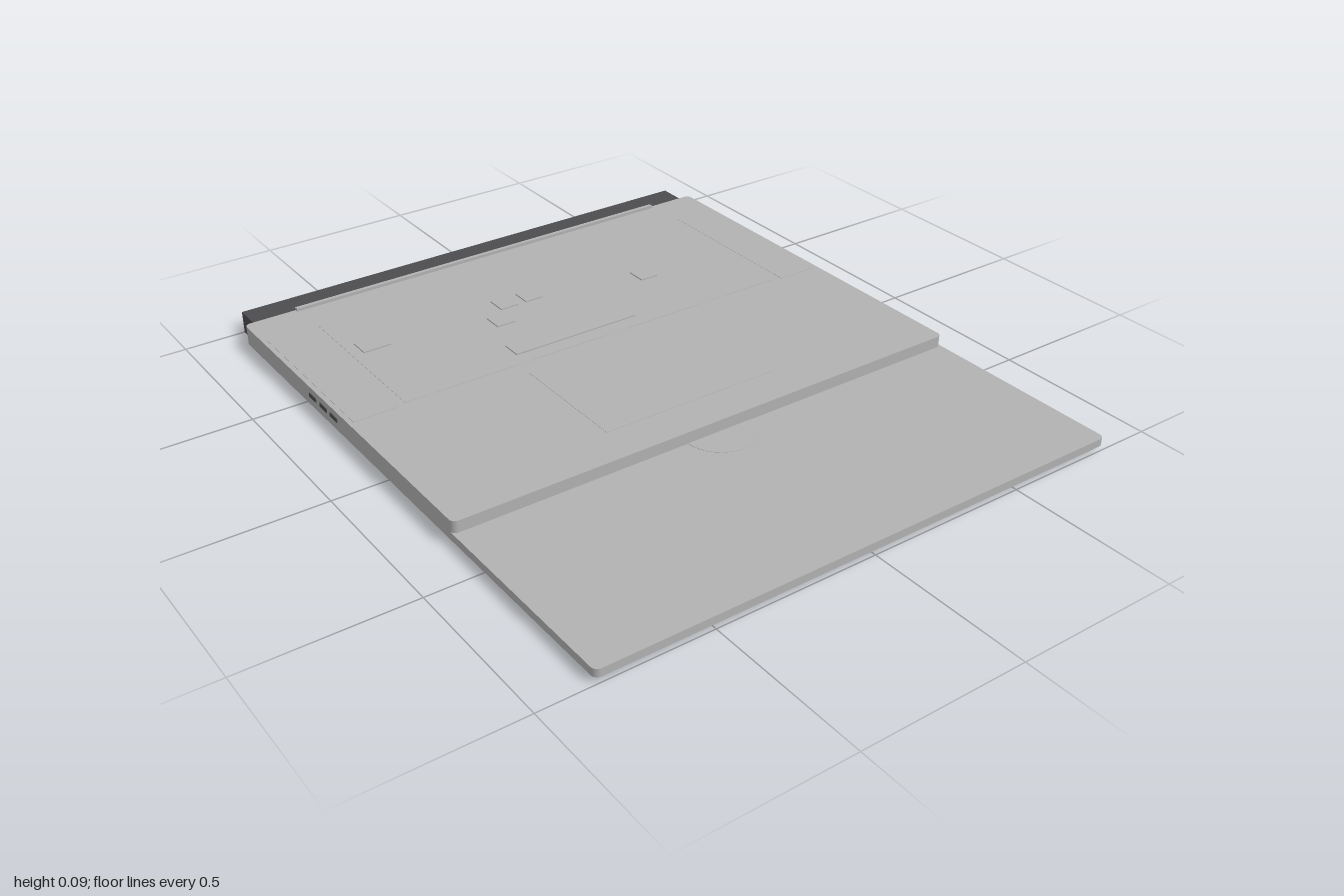
import * as THREE from 'three';

const shell = new THREE.MeshStandardMaterial({ color: 0xb2b2b2 });
shell.name = 'light grey shell';
const dark = new THREE.MeshStandardMaterial({ color: 0x4c4c50 });
dark.name = 'dark grey';

// Slab with rounded vertical corners, given by its bounds
function slab(name, x0, x1, y0, y1, z0, z1, r, material = shell) {
  const s = new THREE.Shape();
  s.moveTo(x0 + r, -z1);
  s.lineTo(x1 - r, -z1);
  s.absarc(x1 - r, -z1 + r, r, -Math.PI / 2, 0);
  s.lineTo(x1, -z0 - r);
  s.absarc(x1 - r, -z0 - r, r, 0, Math.PI / 2);
  s.lineTo(x0 + r, -z0);
  s.absarc(x0 + r, -z0 - r, r, Math.PI / 2, Math.PI);
  s.lineTo(x0, -z1 + r);
  s.absarc(x0 + r, -z1 + r, r, Math.PI, Math.PI * 1.5);
  const g = new THREE.ExtrudeGeometry(s, { depth: y1 - y0, bevelEnabled: false, curveSegments: 4 });
  g.rotateX(-Math.PI / 2).translate(0, y0, 0);
  const mesh = new THREE.Mesh(g, material);
  mesh.name = name;
  return mesh;
}

// Square-edged block, given by its bounds
function block(name, x0, x1, y0, y1, z0, z1, material = shell) {
  const g = new THREE.BoxGeometry(x1 - x0, y1 - y0, z1 - z0);
  g.translate((x0 + x1) / 2, (y0 + y1) / 2, (z0 + z1) / 2);
  const mesh = new THREE.Mesh(g, material);
  mesh.name = name;
  return mesh;
}

export function createModel() {
  const model = new THREE.Group();
  model.name = 'flatDevice';
  const top = 0.076;

  // Thin lower plate, thicker rear body and the bar behind it
  model.add(slab('lowerPlate', -0.84, 0.84, 0.016, 0.04, -0.905, 1, 0.018));
  model.add(slab('upperBody', -0.84, 0.84, 0.04, top, -0.905, 0.367, 0.018));
  model.add(block('rearBar', -0.808, 0.808, 0, 0.07, -1, -0.9, dark));
  model.add(block('hingeRidge', -0.672, 0.672, top - 0.01, 0.086, -0.905, -0.892));

  // Thin panels on the top face
  model.add(block('keyboardPanel', -0.66, 0.655, top, top + 0.001, -0.77, -0.215));
  model.add(block('touchPad', -0.29, 0.29, top, top + 0.001, -0.155, 0.24));
  for (const side of [-1, 1]) {
    const xs = [side * 0.69, side * 0.825].sort((a, b) => a - b);
    model.add(block('speakerPanel', ...xs, top, top + 0.001, -0.77, -0.205));
  }

  // Keys: x range and z range of each
  const keys = [
    [-0.625, -0.535, -0.6, -0.535],
    [-0.155, -0.095, -0.6, -0.535],
    [-0.065, -0.005, -0.6, -0.535],
    [-0.222, -0.16, -0.51, -0.445],
    [0.315, 0.375, -0.515, -0.45],
    [-0.265, 0.16, -0.33, -0.265],
  ];
  for (const [x0, x1, z0, z1] of keys) {
    model.add(block('key', x0, x1, top, top + 0.005, z0, z1));
  }

  // Low half-round finger tab in front of the body
  const tab = new THREE.Mesh(new THREE.CylinderGeometry(0.11, 0.11, 0.002, 32), shell);
  tab.name = 'fingerTab';
  tab.position.set(0, 0.04, 0.365);
  model.add(tab);

  // Three ports on each side
  for (const side of [-1, 1]) {
    for (const z of [-0.3, -0.365, -0.433]) {
      const port = block('sidePort', -0.003, 0.003, 0.043, 0.056, -0.022, 0.022, dark);
      port.position.set(side * 0.839, 0, z);
      model.add(port);
    }
  }
  return model;
}
